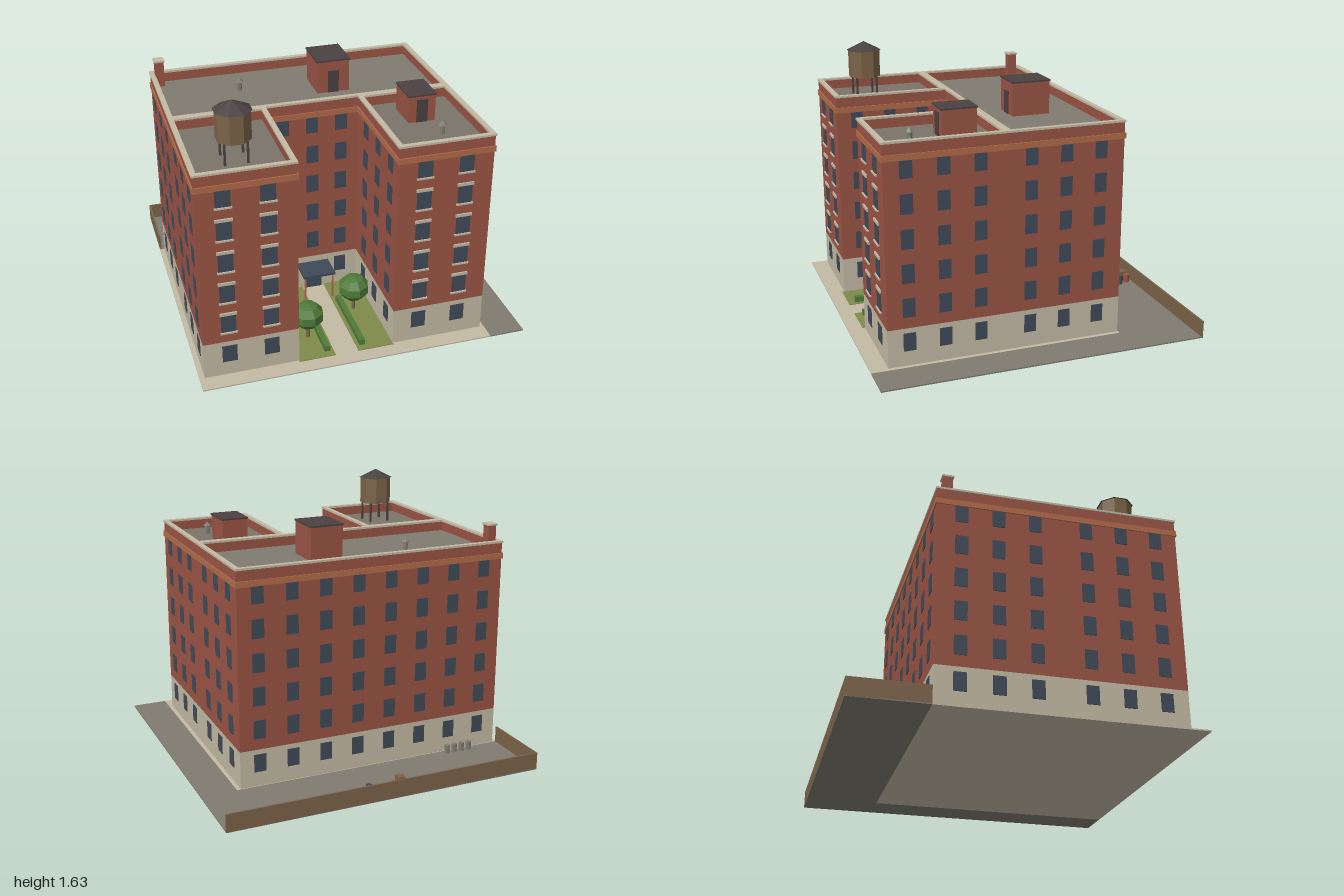
import * as THREE from 'three';

const mat = (name, color) => {
  const m = new THREE.MeshStandardMaterial({ color });
  m.name = name;
  return m;
};

export function createModel() {
  const brick = mat('brick', 0x9a5444), stone = mat('stone', 0xc4baa4), band = mat('bandBrick', 0xb26b49);
  const glass = mat('slateGlass', 0x3f4a58), asphalt = mat('asphalt', 0x7f7b6f), tar = mat('wingRoof', 0x7b7469);
  const dark = mat('darkMetal', 0x4a4142), wood = mat('wood', 0x7c6449);
  const grass = mat('grass', 0x7e8a4a), leaf = mat('foliage', 0x4f7a3a);
  leaf.flatShading = wood.flatShading = dark.flatShading = true;

  const model = new THREE.Group();
  model.name = 'apartmentBlock';
  const group = (name) => {
    const g = new THREE.Group();
    g.name = name;
    model.add(g);
    return g;
  };
  const add = (parent, name, geo, m, x = 0, y = 0, z = 0) => {
    const mesh = new THREE.Mesh(geo, m);
    mesh.name = name;
    mesh.position.set(x, y, z);
    parent.add(mesh);
    return mesh;
  };
  // Box given by its limits on each axis
  const box = (parent, name, m, x0, x1, y0, y1, z0, z1) =>
    add(parent, name, new THREE.BoxGeometry(x1 - x0, y1 - y0, z1 - z0), m, (x0 + x1) / 2, (y0 + y1) / 2, (z0 + z1) / 2);
  // Prism standing on y0
  const prism = (parent, name, m, x, z, y0, y1, rTop, rBottom, sides) => {
    const geo = new THREE.CylinderGeometry(rTop, rBottom, y1 - y0, sides).toNonIndexed();
    geo.rotateY(Math.PI / sides);
    geo.computeVertexNormals();
    return add(parent, name, geo, m, x, (y0 + y1) / 2, z);
  };

  // Main limits of the U-shaped building
  const L = -0.97, R = 0.755, B = -0.545, F = 0.895, CL = -0.402, CR = 0.182, CZ = 0.175;
  const MID = (L + R) / 2, ROOF = 1.27, TOP = 1.328;

  // U-shaped slab grown by o, with optional rectangular holes [x0, x1, z0, z1]
  const slab = (parent, name, m, y0, y1, o = 0, holes = []) => {
    const shape = new THREE.Shape([
      [L - o, B - o], [R + o, B - o], [R + o, F + o], [CR - o, F + o],
      [CR - o, CZ + o], [CL + o, CZ + o], [CL + o, F + o], [L - o, F + o],
    ].map(([x, z]) => new THREE.Vector2(x, -z)));
    for (const [a, b, c, d] of holes) {
      shape.holes.push(new THREE.Path([[a, c], [a, d], [b, d], [b, c]].map(([x, z]) => new THREE.Vector2(x, -z))));
    }
    const geo = new THREE.ExtrudeGeometry(shape, { depth: y1 - y0, bevelEnabled: false });
    geo.rotateX(-Math.PI / 2);
    return add(parent, name, geo, m, 0, y0, 0);
  };

  // Ground
  const ground = group('ground');
  box(ground, 'sidewalk', stone, -1, 0.78, 0, 0.008, -0.55, 1);
  box(ground, 'rearYard', asphalt, -1, 1, 0, 0.008, -1, -0.55);
  box(ground, 'sideYard', asphalt, 0.78, 1, 0, 0.008, -0.55, 1);
  box(ground, 'rearFence', wood, -1, 1, 0.001, 0.11, -1, -0.99);
  box(ground, 'sideFence', wood, -1, -0.99, 0.001, 0.11, -0.99, -0.55);

  // Walls, parapet and roofs
  const walls = group('building');
  const t = 0.022;
  const decks = [
    [L + t, R - t, B + t, CZ - t],
    [L + t, CL - t, CZ + t, F - t],
    [CR + t, R - t, CZ + t, F - t],
  ];
  const inner = decks.map(([a, b, c, d]) => [a + 0.003, b - 0.003, c + 0.003, d - 0.003]);
  slab(walls, 'stoneBase', stone, 0.004, 0.24);
  slab(walls, 'brickWalls', brick, 0.24, 1.26);
  slab(walls, 'corniceBand', band, 1.23, 1.265, 0.007);
  slab(walls, 'parapet', brick, 1.262, TOP, 0, decks);
  slab(walls, 'coping', stone, TOP, 1.34, 0.006, inner);
  decks.forEach(([a, b, c, d], i) =>
    box(walls, i ? 'wingRoof' : 'mainRoof', i ? tar : asphalt, a, b, 1.255, ROOF, c, d));

  // Windows: each facade has a position, a turn and its columns
  const rows = [0.155, ...[0, 1, 2, 3, 4].map((i) => 0.366 + i * 0.2045)];
  const facade = (name, x, z, turn, columns, w, trim = false, skip = -1) => {
    const g = group(name);
    g.position.set(x, 0, z);
    g.rotation.y = turn;
    columns.forEach((u, c) => rows.forEach((y, r) => {
      if (r === 0 && c === skip) return;
      add(g, 'window', new THREE.BoxGeometry(w, r ? 0.115 : 0.11, 0.008), glass, u, y, 0);
      if (!trim || !r) return;
      add(g, 'sill', new THREE.BoxGeometry(w + 0.012, 0.01, 0.024), stone, u, y - 0.062, 0);
      if (r < 5) add(g, 'lintel', new THREE.BoxGeometry(w + 0.012, 0.018, 0.018), stone, u, y + 0.066, 0);
    }));
  };
  const three = [-0.215, 0, 0.215], Q = Math.PI / 2, wingZ = 0.55, barZ = -0.185;
  facade('leftWingFront', 0.465, F, 0, [-0.125, 0.125], 0.088, true);
  facade('rightWingFront', -0.69, F, 0, [-0.125, 0.125], 0.088, true);
  facade('courtFront', -0.11, CZ, 0, [-0.182, 0, 0.182], 0.075, false, 1);
  facade('rear', MID, B, Math.PI, [...Array(8).keys()].map((i) => (i - 3.5) * 0.211), 0.075);
  for (const z of [wingZ, barZ]) {
    facade('leftSide', R, z, Q, three, 0.074);
    facade('rightSide', L, z, -Q, three, 0.074);
  }
  facade('courtSide', CL, wingZ, Q, three, 0.074);
  facade('courtSide', CR, wingZ, -Q, three, 0.074);

  // Entrance
  const entry = group('entrance');
  box(entry, 'doorFrame', stone, -0.178, -0.042, 0.008, 0.178, CZ, CZ + 0.006);
  box(entry, 'door', glass, -0.166, -0.054, 0.008, 0.166, CZ, CZ + 0.01);
  box(entry, 'canopy', glass, -0.215, -0.008, 0.183, 0.199, CZ, 0.34);
  for (const x of [-0.202, -0.021]) box(entry, 'canopyPost', band, x - 0.005, x + 0.005, 0.008, 0.184, 0.322, 0.332);

  // Courtyard garden
  const garden = group('garden');
  box(garden, 'lawn', grass, CL, -0.18, 0.001, 0.012, CZ, 0.91);
  box(garden, 'lawn', grass, -0.038, CR, 0.001, 0.012, CZ, 0.91);
  for (const x of [-0.219, 0]) box(garden, 'hedge', leaf, x - 0.017, x + 0.017, 0.005, 0.047, 0.38, 0.865);
  [[-0.29, 0.69, 0.2], [0.065, 0.49, 0.9]].forEach(([x, z, turn]) => {
    prism(garden, 'treeTrunk', wood, x, z, 0.008, 0.12, 0.01, 0.013, 6);
    const crown = add(garden, 'treeCrown', new THREE.SphereGeometry(0.1, 8, 5), leaf, x, 0.172, z);
    crown.scale.y = 0.84;
    crown.rotation.y = turn;
  });

  // Rooftop stair houses
  const roof = group('rooftop');
  const stairHouse = (x0, x1, z0, z1, top) => {
    const mid = (x0 + x1) / 2;
    box(roof, 'stairHouse', brick, x0, x1, ROOF, top, z0, z1);
    box(roof, 'stairHouseRoof', dark, x0 - 0.005, x1 + 0.005, top, top + 0.01, z0 - 0.005, z1 + 0.005);
    box(roof, 'stairHouseDoor', dark, mid - 0.034, mid + 0.034, ROOF, 1.412, z1 - 0.002, z1 + 0.005);
  };
  stairHouse(-0.005, 0.2, -0.305, -0.065, 1.474);
  stairHouse(0.385, 0.55, 0.285, 0.495, 1.434);

  // Chimney
  box(roof, 'chimney', brick, -0.947, -0.893, ROOF, 1.432, -0.507, -0.449);
  box(roof, 'chimneyCap', stone, -0.953, -0.887, 1.432, 1.443, -0.513, -0.443);

  // Water tank
  const tx = -0.69, tz = 0.64;
  for (const sx of [-1, 1]) for (const sz of [-1, 1]) {
    const x = tx + sx * 0.065, z = tz + sz * 0.065;
    box(roof, 'tankLeg', dark, x - 0.006, x + 0.006, ROOF, 1.402, z - 0.006, z + 0.006);
  }
  prism(roof, 'tankBarrel', wood, tx, tz, 1.4, 1.575, 0.103, 0.103, 8);
  prism(roof, 'tankRoof', dark, tx, tz, 1.572, 1.628, 0, 0.112, 8);

  // Roof vents
  for (const [x, z] of [[-0.457, -0.26], [0.525, 0.675]]) {
    prism(roof, 'ventPipe', asphalt, x, z, ROOF, 1.327, 0.016, 0.016, 6);
    prism(roof, 'ventCap', asphalt, x, z, 1.325, 1.35, 0.004, 0.028, 6);
  }

  // Crates, barrels and bins behind the building
  const yard = group('yardItems');
  box(yard, 'crate', wood, -0.128, -0.053, 0.008, 0.065, -0.977, -0.902);
  box(yard, 'smallCrate', wood, -0.113, -0.068, 0.065, 0.105, -0.962, -0.917);
  box(yard, 'crate', wood, -0.035, 0.023, 0.008, 0.06, -0.974, -0.916);
  prism(yard, 'barrel', brick, 0.073, -0.95, 0.008, 0.062, 0.021, 0.021, 6);
  prism(yard, 'barrel', glass, 0.089, -0.893, 0.008, 0.062, 0.021, 0.021, 6);
  for (let i = 0; i < 4; i++) prism(yard, 'trashBin', asphalt, -0.768 + i * 0.052, -0.582, 0.008, 0.062, 0.018, 0.016, 8);

  return model;
}
